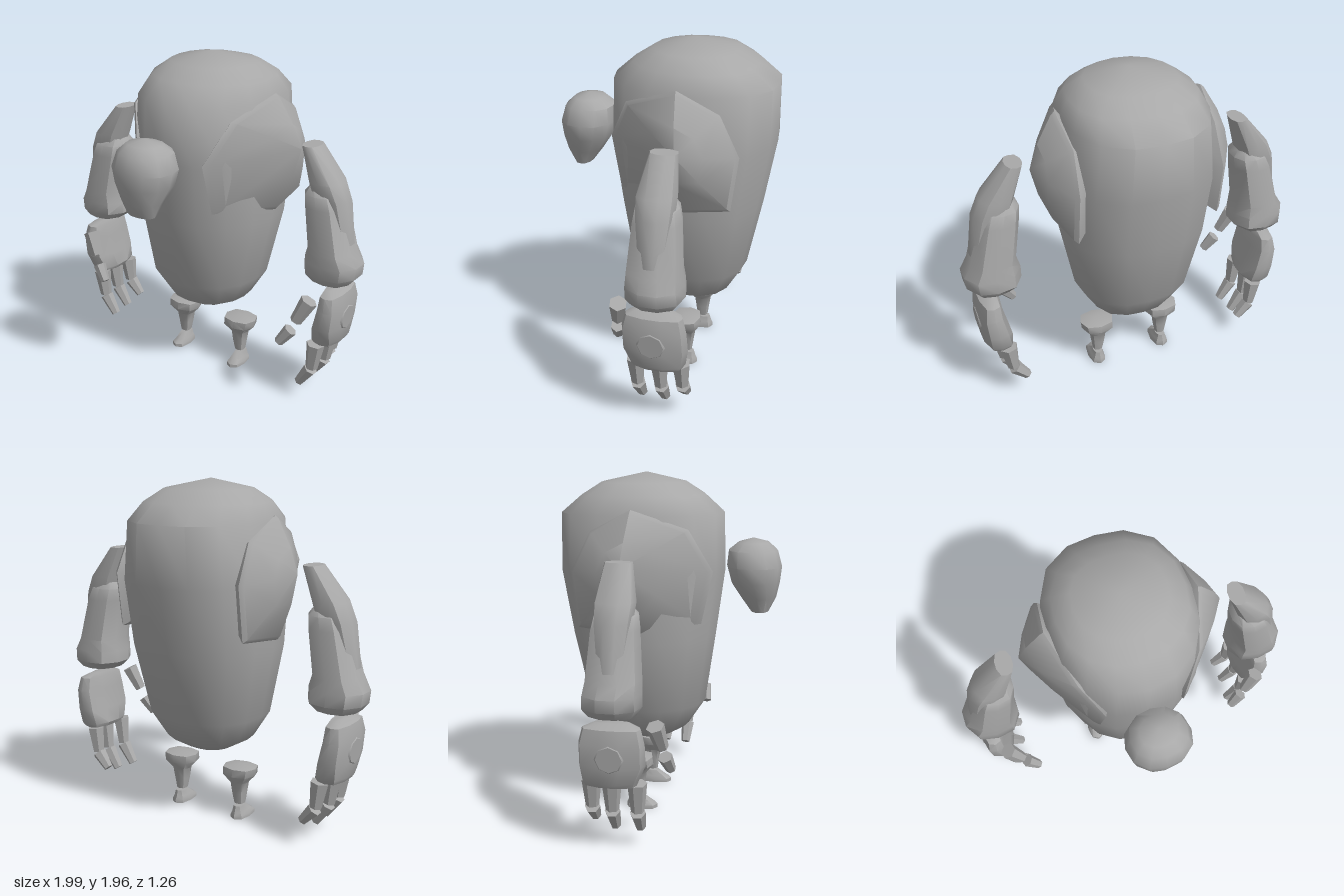
import * as THREE from 'three';
import { toCreasedNormals } from 'three/addons/utils/BufferGeometryUtils.js';

const stone = new THREE.MeshStandardMaterial({ color: 0xa8a8a8 });
stone.name = 'grey stone';

const V = (x, y, z) => new THREE.Vector3(x, y, z);
const middle = (ring) => ring.reduce((s, p) => s.add(p), V(0, 0, 0)).divideScalar(ring.length);

// Closed skin over rings of points, ordered from the outer tip to the tail
function skin(name, rings, tip, tail, crease = 0.75) {
  const n = rings[0].length, last = rings.length - 1;
  const pts = [...rings.flat(), tip ?? middle(rings[0]), tail ?? middle(rings[last])];
  const index = [];
  for (let j = 0; j < n; j++) {
    const k = (j + 1) % n;
    for (let i = 0; i < last; i++) {
      const a = i * n + j, b = i * n + k, c = a + n, d = b + n;
      index.push(a, c, d, a, d, b);
    }
    index.push(pts.length - 2, j, k, pts.length - 1, last * n + k, last * n + j);
  }
  const geo = new THREE.BufferGeometry().setFromPoints(pts);
  geo.setIndex(index);
  const mesh = new THREE.Mesh(toCreasedNormals(geo, crease), stone);
  mesh.name = name;
  return mesh;
}

// Rounded-square ring: height, x range, z range; the back may be boxier than the front
function ring([y, x0, x1, zf, zb], sides, front, back = front) {
  return Array.from({ length: sides }, (_, i) => {
    const t = (i / sides) * Math.PI * 2, s = Math.sin(t), c = Math.cos(t);
    const p = c > 0 ? front : back;
    const r = Math.pow(Math.abs(s) ** p + Math.abs(c) ** p, -1 / p);
    return V((x0 + x1) / 2 + (s * r * (x1 - x0)) / 2, y, (zf + zb) / 2 + (c * r * (zf - zb)) / 2);
  });
}

function loft(name, rows, { sides = 10, front = 2.6, back = front, tip, tail, crease } = {}) {
  return skin(name, rows.map((r) => ring(r, sides, front, back)), tip, tail, crease);
}

// Tapered block between two points, for finger joints
function joint(name, a, b, ra, rb) {
  const dir = b.clone().sub(a);
  const geo = new THREE.CylinderGeometry(rb, ra, dir.length(), 6);
  const mesh = new THREE.Mesh(toCreasedNormals(geo, 0.9), stone);
  mesh.position.copy(a).add(b).multiplyScalar(0.5);
  mesh.quaternion.setFromUnitVectors(V(0, 1, 0), dir.normalize());
  mesh.name = name;
  return mesh;
}

// Domed shoulder plate wrapping the side of the torso
function shoulder() {
  const apex = V(0.58, 1.47, -0.18), core = V(0, 1.4, -0.15);
  const rim = [
    [0.42, 1.77, -0.15], [0.33, 1.66, 0.15], [0.225, 1.42, 0.27], [0.25, 1.13, 0.21],
    [0.44, 1.09, -0.15], [0.41, 1.12, -0.45], [0.41, 1.43, -0.49], [0.4, 1.65, -0.38],
  ].map((p) => V(...p));
  const bulge = (t, out) => rim.map((p) => p.clone().lerp(apex, t).add(V(out, 0, 0)));
  const inner = rim.map((p) => p.clone().lerp(core, 0.2));
  return skin('shoulderPlate', [bulge(0.55, 0.02), bulge(0.06, 0.012), rim, inner], apex);
}

function arm() {
  const g = new THREE.Group();
  g.name = 'arm';
  g.add(loft('upperArm', [
    [1.525, 0.615, 0.71, -0.08, -0.23],
    [1.34, 0.67, 0.865, -0.04, -0.255],
    [1.24, 0.7, 0.91, -0.05, -0.25],
    [1.0, 0.8, 0.945, -0.08, -0.22],
  ]));
  g.add(loft('forearm', [
    [1.31, 0.68, 0.78, -0.07, -0.23],
    [1.27, 0.65, 0.86, -0.03, -0.265],
    [1.2, 0.655, 0.89, -0.02, -0.28],
    [0.95, 0.69, 0.955, 0, -0.3],
    [0.88, 0.67, 0.998, 0, -0.31],
    [0.81, 0.67, 0.99, 0, -0.315],
    [0.765, 0.72, 0.95, -0.03, -0.28],
  ]));
  g.add(loft('palm', [
    [0.725, 0.82, 0.88, -0.06, -0.25],
    [0.7, 0.81, 0.925, 0, -0.31],
    [0.62, 0.8, 0.943, 0.02, -0.33],
    [0.5, 0.77, 0.935, 0.02, -0.335],
    [0.41, 0.75, 0.925, -0.02, -0.32],
    [0.385, 0.765, 0.91, -0.03, -0.305],
  ], { front: 3 }));

  // Octagonal mark on the back of the hand
  const mark = new THREE.Mesh(new THREE.CylinderGeometry(0.07, 0.078, 0.009, 8), stone);
  mark.rotation.z = -Math.PI / 2 - 0.06;
  mark.position.set(0.938, 0.55, -0.155);
  mark.name = 'handMark';
  g.add(mark);

  // Thumb, then three fingers of two joints each
  g.add(joint('thumbBase', V(0.805, 0.7, 0.06), V(0.74, 0.565, 0.085), 0.05, 0.035));
  g.add(joint('thumbTip', V(0.715, 0.505, 0.095), V(0.652, 0.415, 0.115), 0.04, 0.028));
  for (const [z, mid, end, dx] of [[-0.035, 0.22, 0.085, 0], [-0.17, 0.225, 0.09, 0.01], [-0.285, 0.235, 0.13, -0.01]]) {
    g.add(joint('fingerBase', V(0.81 + dx, 0.385, z), V(0.79 + dx, mid, z - 0.003), 0.053, 0.036));
    g.add(joint('fingerTip', V(0.785 + dx, mid - 0.01, z - 0.004), V(0.71 + dx, end + 0.01, z - 0.006), 0.043, 0.028));
  }
  return g;
}

function leg() {
  const g = new THREE.Group();
  g.name = 'leg';
  g.add(loft('thighAndShin', [
    [0.31, 0.11, 0.315, -0.08, -0.25],
    [0.265, 0.112, 0.308, -0.075, -0.255],
    [0.215, 0.16, 0.26, -0.115, -0.22],
    [0.15, 0.168, 0.25, -0.125, -0.21],
    [0.085, 0.182, 0.24, -0.135, -0.2],
  ], { sides: 8, tip: V(0.22, 0.33, -0.165) }));
  g.add(loft('foot', [
    [0.073, 0.185, 0.24, -0.13, -0.215],
    [0.04, 0.175, 0.25, -0.08, -0.225],
    [0.02, 0.165, 0.262, -0.05, -0.235],
    [0, 0.165, 0.262, -0.05, -0.235],
  ], { sides: 8 }));
  return g;
}

export function createModel() {
  const model = new THREE.Group();
  model.name = 'stoneGiant';

  model.add(loft('torso', [
    [1.9, -0.25, 0.25, 0.08, -0.4],
    [1.83, -0.35, 0.35, 0.19, -0.51],
    [1.73, -0.4, 0.4, 0.305, -0.63],
    [1.4, -0.44, 0.44, 0.31, -0.63],
    [1.03, -0.42, 0.42, 0.26, -0.565],
    [0.62, -0.335, 0.335, 0.2, -0.48],
    [0.47, -0.245, 0.245, 0.1, -0.39],
    [0.41, -0.14, 0.14, 0, -0.29],
  ], { sides: 16, front: 2.1, back: 2.5, tip: V(0, 1.955, -0.15), tail: V(0, 0.375, -0.15), crease: 0.9 }));

  model.add(loft('head', [
    [1.565, -0.105, 0.105, 0.56, 0.385],
    [1.52, -0.155, 0.155, 0.61, 0.33],
    [1.43, -0.185, 0.185, 0.635, 0.32],
    [1.34, -0.165, 0.165, 0.625, 0.345],
    [1.25, -0.12, 0.12, 0.605, 0.405],
    [1.17, -0.088, 0.088, 0.565, 0.465],
  ], { sides: 12, front: 2.3, tip: V(0, 1.59, 0.47) }));

  // Paired parts, mirrored
  for (const side of [1, -1]) {
    const half = new THREE.Group();
    half.name = side > 0 ? 'leftSide' : 'rightSide';
    half.add(shoulder(), arm(), leg());
    half.scale.x = side;
    model.add(half);
  }
  return model;
}
